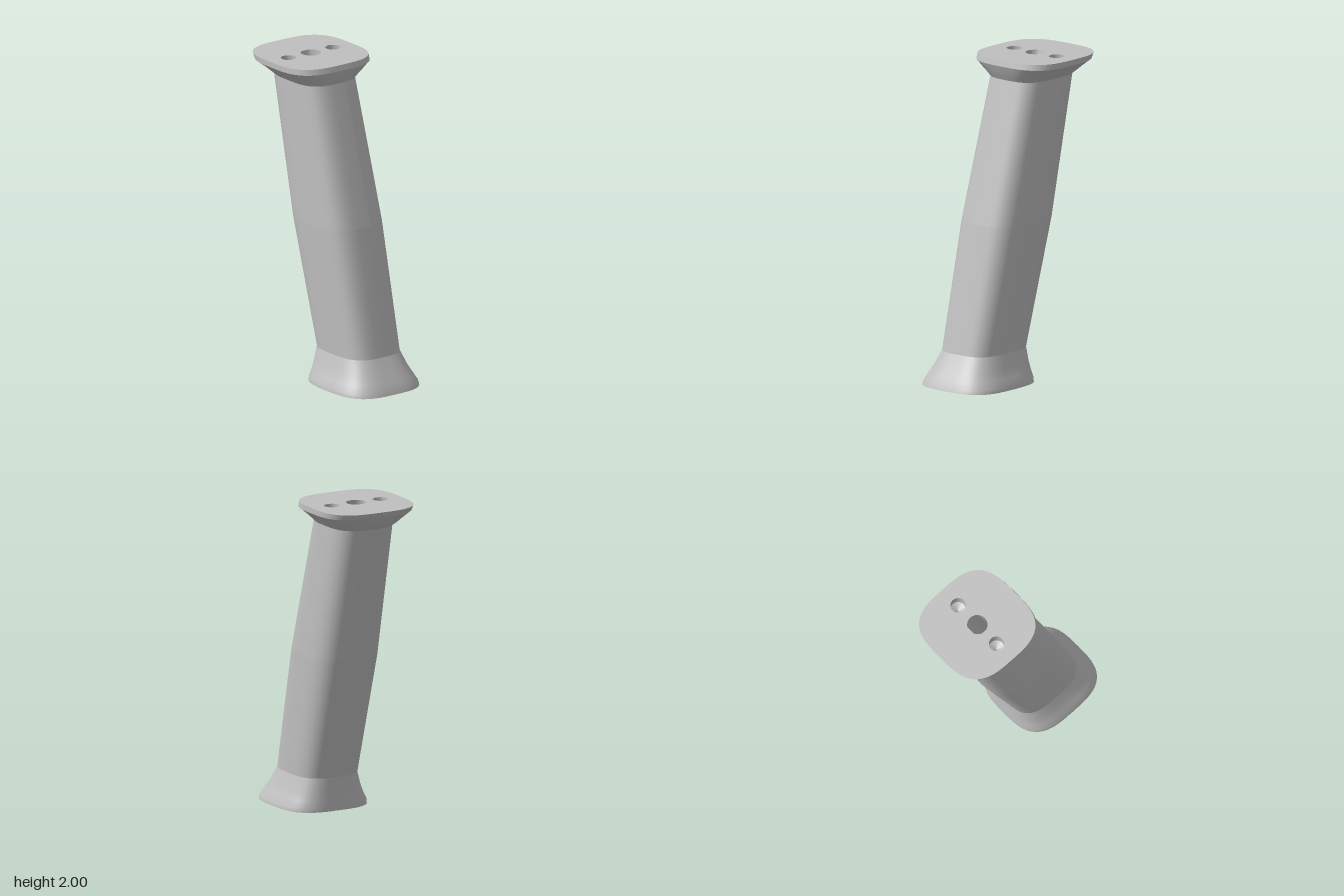
import * as THREE from 'three';

const SEGMENTS = 96;

// Rounded-square outline: half width, front z, back z -> [x, z] points
function outline(halfWidth, front, back) {
  const mid = (front + back) / 2, depth = (front - back) / 2, points = [];
  const soften = (v) => Math.sign(v) * Math.abs(v) ** 0.625;
  for (let i = 0; i < SEGMENTS; i++) {
    const a = (i / SEGMENTS) * Math.PI * 2;
    points.push([halfWidth * soften(Math.cos(a)), mid + depth * soften(Math.sin(a))]);
  }
  return points;
}

// Round outline, optionally cut flat across its back and front
function circle(x, z, r, back = -1, front = 1) {
  const points = [];
  for (let i = 0; i < 48; i++) {
    const a = (i / 48) * Math.PI * 2;
    const dz = Math.min(front, Math.max(back, Math.sin(a)));
    points.push([x + r * Math.cos(a), z + r * dz]);
  }
  return points;
}

// Skin over rings of { y, points }; upward order faces out, downward order faces in
function loft(rings) {
  const n = rings[0].points.length, positions = [], index = [];
  for (const { y, points } of rings) for (const [x, z] of points) positions.push(x, y, z);
  for (let r = 0; r < rings.length - 1; r++) {
    for (let j = 0; j < n; j++) {
      const a = r * n + j, b = r * n + ((j + 1) % n);
      index.push(a, a + n, b, b, a + n, b + n);
    }
  }
  const geometry = new THREE.BufferGeometry();
  geometry.setAttribute('position', new THREE.Float32BufferAttribute(positions, 3));
  geometry.setIndex(index);
  geometry.computeVertexNormals();
  return geometry;
}

// Flat end face with holes; side is +1 for top, -1 for bottom
function endFace(points, holes, y, side) {
  const toVectors = (list) => list.map(([x, z]) => new THREE.Vector2(x, -side * z));
  const shape = new THREE.Shape(toVectors(points));
  shape.holes = holes.map((hole) => new THREE.Path(toVectors(hole)));
  return new THREE.ShapeGeometry(shape).rotateX((-side * Math.PI) / 2).translate(0, y, 0);
}

export function createModel() {
  const model = new THREE.Group();
  model.name = 'slantedHandle';
  const grey = new THREE.MeshStandardMaterial({ color: 0xbfbfbf });
  grey.name = 'plain grey';

  const add = (name, geometry) => {
    const mesh = new THREE.Mesh(geometry, grey);
    mesh.name = name;
    model.add(mesh);
  };

  // Outer bands: [y, half width, front z, back z], each band shaded separately
  const bands = {
    flaredFoot: [[0, 0.29, 0.585, -0.05], [0.025, 0.287, 0.575, -0.05],
      [0.07, 0.262, 0.55, -0.046], [0.12, 0.238, 0.515, -0.043], [0.21, 0.207, 0.462, -0.04]],
    lowerShaft: [[0.21, 0.207, 0.462, -0.04], [1, 0.222, 0.27, -0.27]],
    upperShaft: [[1, 0.222, 0.27, -0.27], [1.87, 0.205, 0.01, -0.475]],
    flaredCollar: [[1.87, 0.205, 0.01, -0.475], [1.89, 0.225, 0.02, -0.503],
      [1.92, 0.258, 0.037, -0.53], [1.965, 0.313, 0.055, -0.567]],
    topRim: [[1.965, 0.315, 0.055, -0.567], [2, 0.315, 0.045, -0.587]],
  };
  for (const [name, rows] of Object.entries(bands)) {
    add(name, loft(rows.map(([y, w, front, back]) => ({ y, points: outline(w, front, back) }))));
  }

  // Slanted bore running the length of the shaft
  const boreTop = circle(0, -0.27, 0.063, -0.9);
  const boreBottom = circle(0, 0.27, 0.1, -1, 0.75);
  add('centreBore', loft([
    { y: 2, points: boreTop },
    { y: 1, points: circle(0, 0, 0.08) },
    { y: 0, points: boreBottom },
  ]));

  // Two blind screw holes with conical bottoms
  const screwHoles = [];
  for (const side of [-1, 1]) {
    const ring = (r) => circle(side * 0.173, -0.27, r);
    screwHoles.push(ring(0.048));
    const label = side > 0 ? 'left' : 'right';
    add(label + 'ScrewHole', loft([{ y: 2, points: ring(0.048) }, { y: 1.93, points: ring(0.048) }]));
    add(label + 'ScrewHoleTip', loft([{ y: 1.93, points: ring(0.048) }, { y: 1.9, points: ring(0.0005) }]));
  }

  // Flat end faces
  add('topFace', endFace(outline(0.315, 0.045, -0.587), [boreTop, ...screwHoles], 2, 1));
  add('bottomFace', endFace(outline(0.29, 0.585, -0.05), [boreBottom], 0, -1));

  return model;
}
